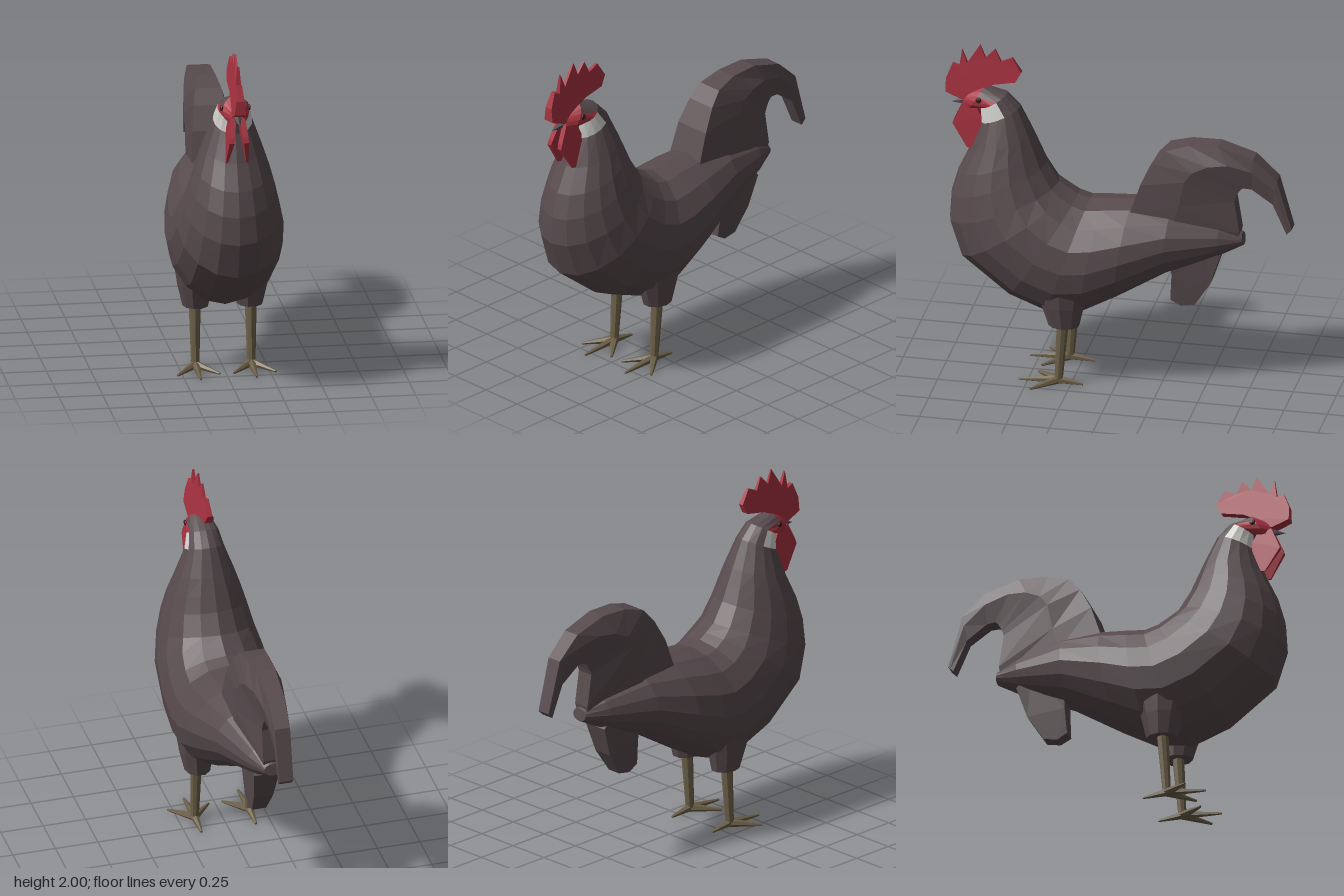
import * as THREE from 'three';

const mat = (name, color) => {
  const m = new THREE.MeshStandardMaterial({ color, side: THREE.FrontSide });
  m.name = name;
  return m;
};

// faceted look: every triangle gets its own normal
const facet = (g) => {
  const f = g.index ? g.toNonIndexed() : g;
  f.computeVertexNormals();
  return f;
};

const lerp = THREE.MathUtils.lerp;
const ramp = (y, y0, v0, y1, v1) => lerp(v0, v1, THREE.MathUtils.clamp((y - y0) / (y1 - y0), 0, 1));

// Skin closed rings; pick(ring, segment) gives the material slot of each quad
function loft(rings, pick = () => 0) {
  const slots = [];
  const tri = (slot, ...p) => (slots[slot] ??= []).push(p);
  const n = rings[0].length;
  for (let i = 0; i < rings.length - 1; i++) {
    for (let j = 0; j < n; j++) {
      const k = (j + 1) % n, s = pick(i, j);
      tri(s, rings[i][j], rings[i][k], rings[i + 1][k]);
      tri(s, rings[i][j], rings[i + 1][k], rings[i + 1][j]);
    }
  }
  const last = rings.length - 1;
  for (const [i, s] of [[0, pick(0, 0)], [last, pick(last - 1, 0)]]) {
    const c = rings[i].reduce((a, p) => a.add(p), new THREE.Vector3()).divideScalar(n);
    for (let j = 0; j < n; j++) {
      const a = rings[i][j], b = rings[i][(j + 1) % n];
      if (i === 0) tri(s, c, b, a);
      else tri(s, c, a, b);
    }
  }
  // make all faces point outward
  let volume = 0;
  slots.forEach((l) => l.forEach(([a, b, c]) => { volume += a.dot(b.clone().cross(c)); }));
  const g = new THREE.BufferGeometry(), points = [];
  slots.forEach((list, s) => {
    g.addGroup(points.length, list.length * 3, s);
    list.forEach(([a, b, c]) => points.push(...(volume > 0 ? [a, b, c] : [a, c, b])));
  });
  g.setFromPoints(points);
  return facet(g);
}

// Side profile of [z, y] points, thickened in x by half(y, z) around offset(y)
function plate(profile, half, offset = () => 0) {
  const shape = new THREE.Shape(profile.map(([z, y]) => new THREE.Vector2(z, y)));
  const g = new THREE.ExtrudeGeometry(shape, { depth: 1, bevelEnabled: false });
  g.translate(0, 0, -0.5).rotateY(-Math.PI / 2);
  const p = g.attributes.position;
  for (let i = 0; i < p.count; i++) {
    const y = p.getY(i);
    p.setX(i, p.getX(i) * 2 * half(y, p.getZ(i)) + offset(y));
  }
  return facet(g);
}

// Tapered rod from a to b
function rod(a, b, ra, rb, sides = 7) {
  const p = new THREE.Vector3(...a), q = new THREE.Vector3(...b), d = q.clone().sub(p);
  const g = new THREE.CylinderGeometry(rb, ra, d.length(), sides);
  g.applyQuaternion(new THREE.Quaternion().setFromUnitVectors(new THREE.Vector3(0, 1, 0), d.normalize()));
  const c = p.add(q).multiplyScalar(0.5);
  return facet(g.translate(c.x, c.y, c.z));
}

export function createModel() {
  const root = new THREE.Group();
  root.name = 'rooster';
  const plumage = mat('dark plumage', 0x574a4d);
  const red = mat('comb red', 0xa83240);
  const white = mat('earlobe white', 0xd2d2ce);
  const horn = mat('beak grey', 0x47464a);
  const shank = mat('leg brown', 0x6c6048);
  const pupil = mat('eye dark', 0x3a1c1e);
  const add = (name, geometry, material, parent = root) => {
    const m = new THREE.Mesh(geometry, material);
    m.name = name;
    parent.add(m);
    return m;
  };

  // Body, neck and head: [back z, back y, front z, front y, half width]
  const body = [
    [-0.71, 0.97, -0.72, 0.90, 0.05], [-0.59, 1.03, -0.57, 0.82, 0.115],
    [-0.31, 1.11, -0.28, 0.70, 0.215], [-0.08, 1.12, 0.0, 0.53, 0.285],
    [0.08, 1.11, 0.20, 0.42, 0.31], [0.17, 1.10, 0.40, 0.40, 0.315],
    [0.24, 1.12, 0.63, 0.49, 0.315], [0.29, 1.15, 0.91, 0.71, 0.305],
    [0.35, 1.19, 0.98, 0.92, 0.275], [0.42, 1.30, 0.97, 1.08, 0.242],
    [0.46, 1.39, 0.93, 1.22, 0.21], [0.50, 1.48, 0.86, 1.37, 0.17],
    [0.575, 1.635, 0.80, 1.53, 0.112], [0.65, 1.71, 0.80, 1.62, 0.092],
    [0.78, 1.75, 0.87, 1.60, 0.074], [0.87, 1.71, 0.91, 1.62, 0.035],
  ];
  const sides = 16;
  const rings = body.map(([bz, by, fz, fy, w]) => Array.from({ length: sides }, (_, j) => {
    const t = (j / sides) * Math.PI * 2, c = Math.cos(t);
    return new THREE.Vector3(w * Math.sin(t), (by + fy) / 2 + ((fy - by) / 2) * c, (bz + fz) / 2 + ((fz - bz) / 2) * c);
  }));
  const paint = (i, j) => {
    const fromFront = Math.min(j, sides - 1 - j);
    if (i === 12) return fromFront > 0 && fromFront < 5 ? 2 : 0;
    if (i === 13) return fromFront < 5 ? 1 : 0;
    if (i === 14) return fromFront < 7 ? 1 : 0;
    return 0;
  };
  add('body', loft(rings, paint), [plumage, red, white]);

  // Arched tail: [outer z, outer y, inner z, inner y, outer, middle, inner half width]
  const tail = [
    [-0.08, 1.08, -0.69, 0.93, 0.12, 0.12, 0.04], [-0.14, 1.26, -0.70, 0.99, 0.11, 0.12, 0.05],
    [-0.21, 1.39, -0.67, 1.18, 0.09, 0.12, 0.05], [-0.28, 1.47, -0.68, 1.21, 0.075, 0.115, 0.05],
    [-0.41, 1.51, -0.70, 1.25, 0.06, 0.105, 0.05], [-0.58, 1.515, -0.72, 1.27, 0.055, 0.085, 0.05],
    [-0.78, 1.455, -0.77, 1.265, 0.05, 0.065, 0.045], [-0.915, 1.33, -0.89, 1.18, 0.045, 0.05, 0.04],
    [-1.0, 1.03, -0.97, 1.0, 0.04, 0.04, 0.04],
  ];
  add('tail', loft(tail.map(([oz, oy, iz, iy, wo, wm, wi]) =>
    [[wo, 0], [wm, 0.4], [wi, 1], [-wi, 1], [-wm, 0.4], [-wo, 0]].map(([x, t]) =>
      new THREE.Vector3(x, lerp(oy, iy, t), lerp(oz, iz, t))))), plumage);

  // Feather hanging under the tail
  add('underTail', plate(
    [[-0.31, 0.80], [-0.31, 0.68], [-0.30, 0.53], [-0.36, 0.495], [-0.44, 0.51], [-0.53, 0.65], [-0.59, 0.83], [-0.50, 0.92]],
    (y) => ramp(y, 0.5, 0.04, 0.8, 0.075)), plumage);

  // Comb, thinning towards the spikes
  add('comb', plate(
    [[0.90, 1.66], [1.0, 1.70], [1.0, 1.78], [0.965, 1.87], [0.925, 1.855], [0.91, 1.96], [0.88, 1.88], [0.805, 2.0],
      [0.775, 1.92], [0.72, 1.98], [0.685, 1.905], [0.62, 1.935], [0.567, 1.85], [0.60, 1.79], [0.73, 1.765], [0.80, 1.73]],
    (y) => ramp(y, 1.68, 0.035, 1.9, 0.01) - ramp(y, 1.9, 0, 2, 0.006)), red);

  // Beak
  const beak = new THREE.ConeGeometry(0.032, 0.11, 6);
  beak.rotateX(Math.PI / 2 + 0.15).translate(0, 1.637, 0.92);
  add('beak', facet(beak), horn);

  for (const side of [1, -1]) {
    const label = side > 0 ? 'left' : 'right';

    // Wattle and eye
    add(label + 'Wattle', plate(
      [[0.90, 1.65], [0.82, 1.63], [0.79, 1.57], [0.79, 1.5], [0.82, 1.38], [0.87, 1.38], [0.955, 1.52], [0.945, 1.55]],
      (y) => ramp(y, 1.38, 0.006, 1.55, 0.016), (y) => side * ramp(y, 1.38, 0.058, 1.65, 0.026)), red);
    const eye = new THREE.SphereGeometry(0.017, 8, 6).scale(0.5, 1, 1);
    add(label + 'Eye', facet(eye.translate(side * 0.079, 1.685, 0.80)), pupil);

    // Feathered thigh
    const thigh = [[0.37, 0.155, 0.29, 0.075, 0.09], [0.50, 0.16, 0.295, 0.1, 0.125], [0.75, 0.165, 0.30, 0.135, 0.2]];
    add(label + 'Thigh', loft(thigh.map(([y, x, z, rx, rz]) => Array.from({ length: 10 }, (_, j) => {
      const t = (j / 10) * Math.PI * 2;
      return new THREE.Vector3(side * x + rx * Math.cos(t), y, z + rz * Math.sin(t));
    }))), plumage);

    // Leg with three front toes and one back toe
    const foot = new THREE.Group();
    foot.name = label + 'Leg';
    foot.position.x = side * 0.16;
    root.add(foot);
    add('shank', rod([0, 0.03, 0.32], [0, 0.40, 0.295], 0.024, 0.035, 8), shank, foot);
    const toes = [[0, 0.55], [0.12, 0.46], [-0.12, 0.46], [0, 0.18]];
    for (const [x, z] of toes) add('toe', rod([0, 0.026, 0.32], [x, 0.008, z], 0.025, 0.007, 6), shank, foot);
  }
  return root;
}
